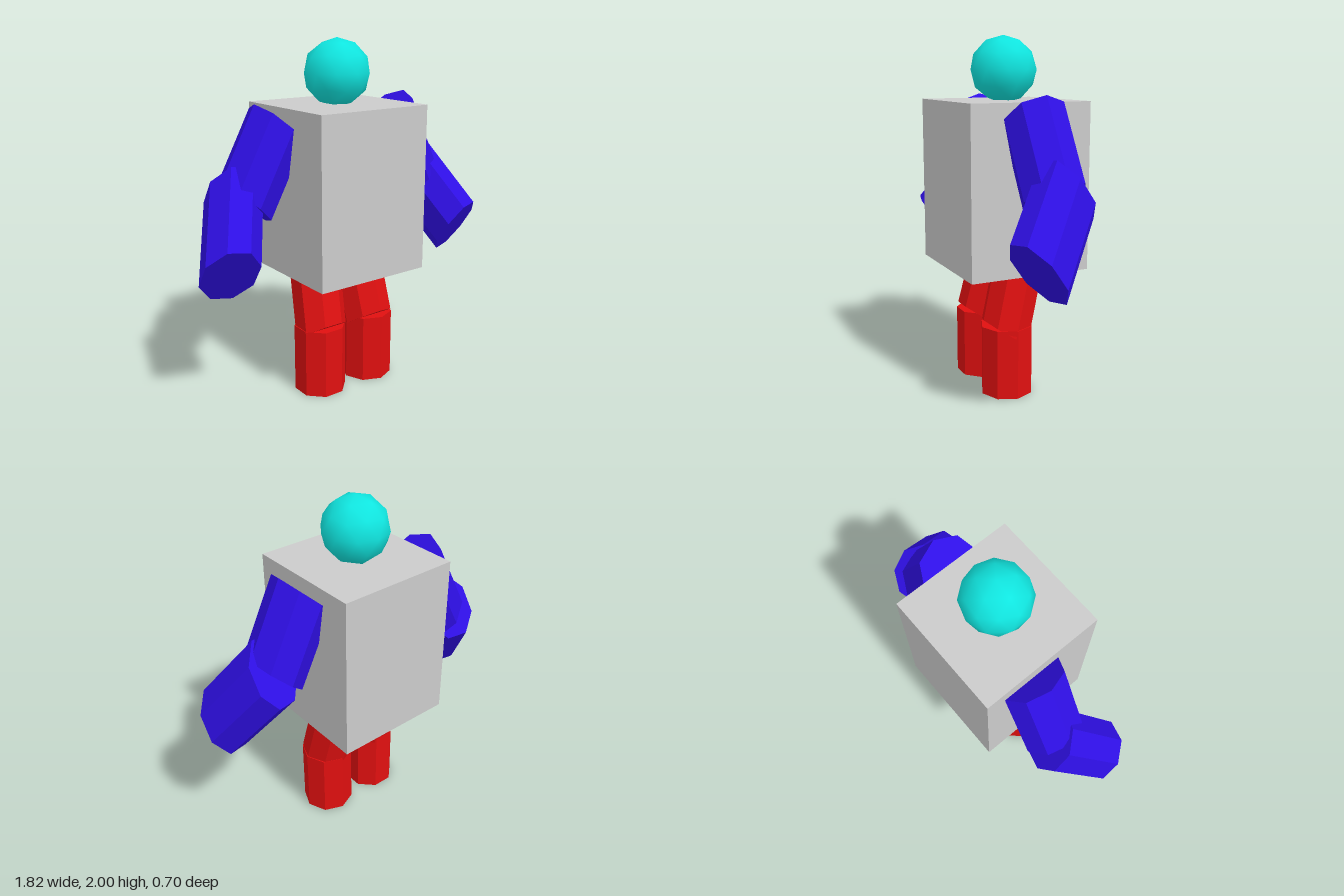
import * as THREE from 'three';

const V = (x, y, z) => new THREE.Vector3(x, y, z);
const grey = new THREE.MeshStandardMaterial({ color: 0xcccccc, flatShading: true });
const blue = new THREE.MeshStandardMaterial({ color: 0x2f0fe6, flatShading: true });
const red = new THREE.MeshStandardMaterial({ color: 0xe01010, flatShading: true });
const cyan = new THREE.MeshStandardMaterial({ color: 0x10e6e0 });

// Eight-sided limb between two centres; u and v are the half axes of its (slanted) end caps
function limb(name, material, bottom, top, u, v, phase = 0) {
  const axis = top.clone().sub(bottom);
  const m = new THREE.Matrix4().makeBasis(v, axis, u);
  if (m.determinant() < 0) m.makeBasis(v.clone().negate(), axis, u);
  m.setPosition(bottom.clone().add(top).multiplyScalar(0.5));
  const geometry = new THREE.CylinderGeometry(1, 1, 1, 8).rotateY(phase).applyMatrix4(m);
  const mesh = new THREE.Mesh(geometry, material);
  mesh.name = name;
  return mesh;
}

function arm(side) {
  const P = (x, y, z) => V(side * x, y, z);
  const group = new THREE.Group();
  group.name = side > 0 ? 'leftArm' : 'rightArm';
  group.add(
    limb('upperArm', blue, P(0.561, 1.167, -0.012), P(0.354, 1.565, -0.003),
      P(0.132, 0.122, 0), P(0, 0, 0.174)),
    limb('forearm', blue, P(0.767, 0.85, 0.188), P(0.592, 1.218, -0.066),
      P(0.058, 0.161, 0.093), P(0.138, -0.05, -0.083)),
  );
  // the right arm sits a little lower and further back
  if (side < 0) group.position.set(-0.005, -0.02, -0.066);
  return group;
}

function leg(side) {
  const P = (x, y, z) => V(side * x, y, z);
  const phase = side > 0 ? 0 : Math.PI / 8;
  const group = new THREE.Group();
  group.name = side > 0 ? 'leftLeg' : 'rightLeg';
  group.add(
    limb('thigh', red, P(0.165, 0.35, 0.076), P(0.14, 0.76, -0.026),
      P(0, 0.085, 0.13), P(0.15, 0, 0), phase),
    limb('shin', red, P(0.167, 0, 0.065), P(0.167, 0.397, 0.065),
      P(0, 0, 0.15), P(0.15, 0, 0), phase),
  );
  if (side < 0) group.position.x = -0.008;
  return group;
}

export function createModel() {
  const model = new THREE.Group();
  model.name = 'figure';

  const torso = new THREE.Mesh(new THREE.BoxGeometry(0.705, 0.935, 0.705), grey);
  torso.name = 'torso';
  torso.position.set(-0.007, 1.178, 0);

  // Subdivided icosahedron standing on one of its corners
  const head = new THREE.Mesh(
    new THREE.IcosahedronGeometry(0.187, 1).rotateZ(Math.atan(2 / (1 + Math.sqrt(5)))), cyan);
  head.name = 'head';
  head.position.set(-0.006, 1.813, 0);

  model.add(torso, head);
  for (const side of [1, -1]) model.add(arm(side), leg(side));
  return model;
}
